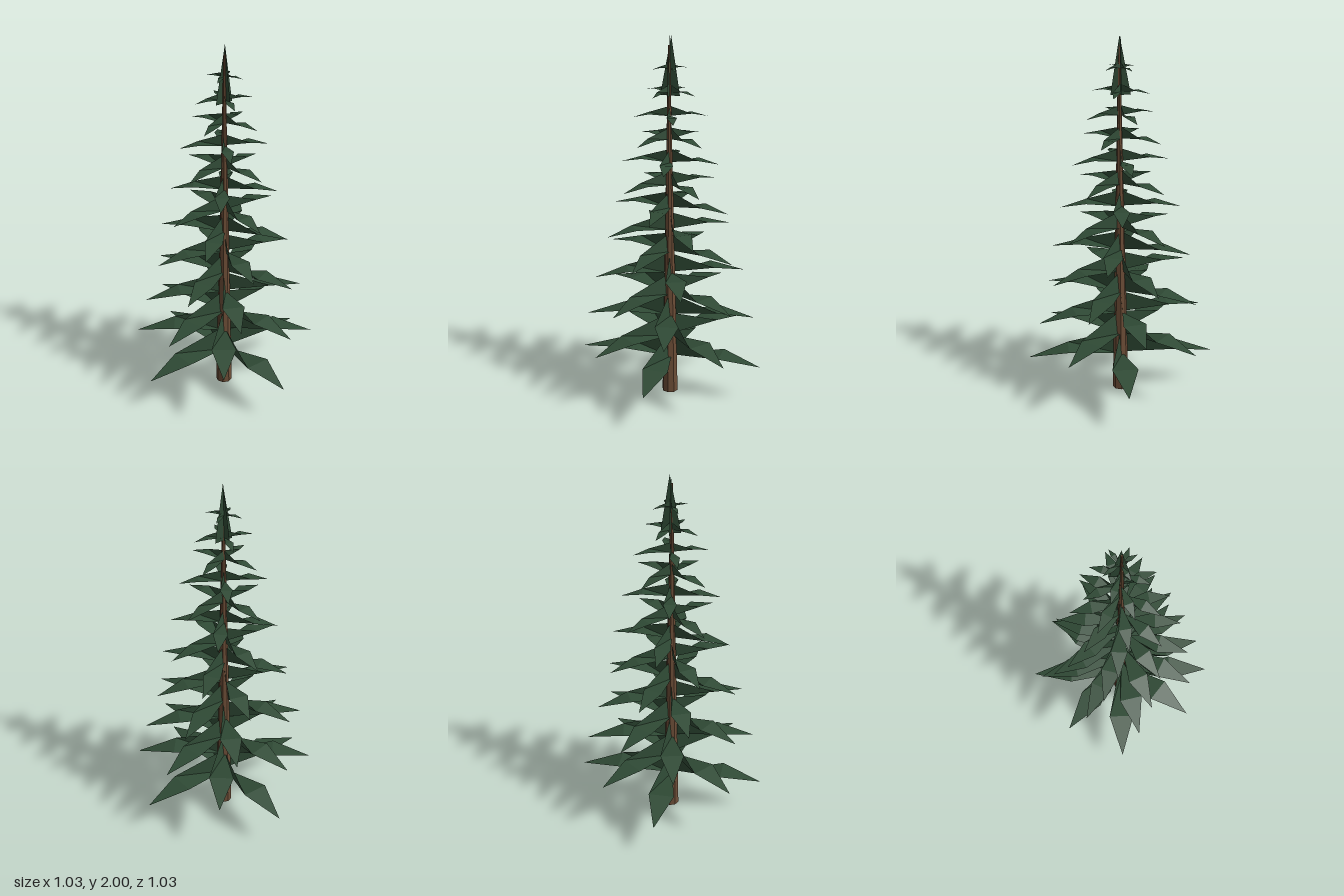
import * as THREE from 'three';

const needleMat = new THREE.MeshStandardMaterial({ color: 0x2f4a35, flatShading: true, side: THREE.DoubleSide });
const barkMat = new THREE.MeshStandardMaterial({ color: 0x6b4c36, flatShading: true });

// Flat-shaded surface from a list of triangles
function surface(triangles) {
  const g = new THREE.BufferGeometry();
  g.setAttribute('position', new THREE.Float32BufferAttribute(triangles.flat(2), 3));
  g.computeVertexNormals();
  return g;
}

// One leaf-like bough along +x: upright at the trunk, twisting flat towards a drooping tip.
// The top of its root is at the origin; sizes scale with its reach.
function boughGeometry(reach) {
  const rootTop = [0, 0, 0];
  const rootLow = [0.02, -0.275, -0.02];
  const near = [0.57, -0.19, 0.137];
  const far = [0.57, -0.19, -0.137];
  const tip = [1, -0.29, 0];
  return surface([
    [rootTop, near, rootLow],
    [rootLow, near, far],
    [far, near, tip],
  ]).scale(reach, reach, reach);
}

export function createModel() {
  const tree = new THREE.Group();
  tree.name = 'spruceTree';

  // Tapered trunk, leaning very slightly
  const trunk = new THREE.Mesh(new THREE.CylinderGeometry(0.005, 0.044, 1.95, 8).translate(0, 0.975, 0), barkMat);
  trunk.name = 'trunk';
  trunk.rotation.set(0.002, 0, -0.004);
  tree.add(trunk);

  // Whorls of four boughs, each turned on from the one below
  const reaches = [0.513, 0.487, 0.462, 0.437, 0.408, 0.381, 0.352, 0.322, 0.283, 0.26, 0.232, 0.195, 0.155, 0.098];
  reaches.forEach((reach, i) => {
    const whorl = new THREE.Group();
    whorl.name = `boughWhorl${i + 1}`;
    whorl.position.y = 0.204 + 0.125 * i + 0.29 * reach;
    whorl.rotation.y = THREE.MathUtils.degToRad(50.95 * i);
    const geometry = boughGeometry(reach);
    for (let k = 0; k < 4; k++) {
      const bough = new THREE.Mesh(geometry, needleMat);
      bough.name = 'bough';
      bough.rotation.y = (k * Math.PI) / 2;
      whorl.add(bough);
    }
    tree.add(whorl);
  });

  // Pointed top made of two crossed upright blades
  const blade = surface([[[-0.053, 1.69, 0], [0.053, 1.69, 0], [0.006, 2, 0]]]);
  for (let k = 0; k < 2; k++) {
    const top = new THREE.Mesh(blade, needleMat);
    top.name = 'treeTopBlade';
    top.rotation.y = (k * Math.PI) / 2;
    tree.add(top);
  }

  return tree;
}
